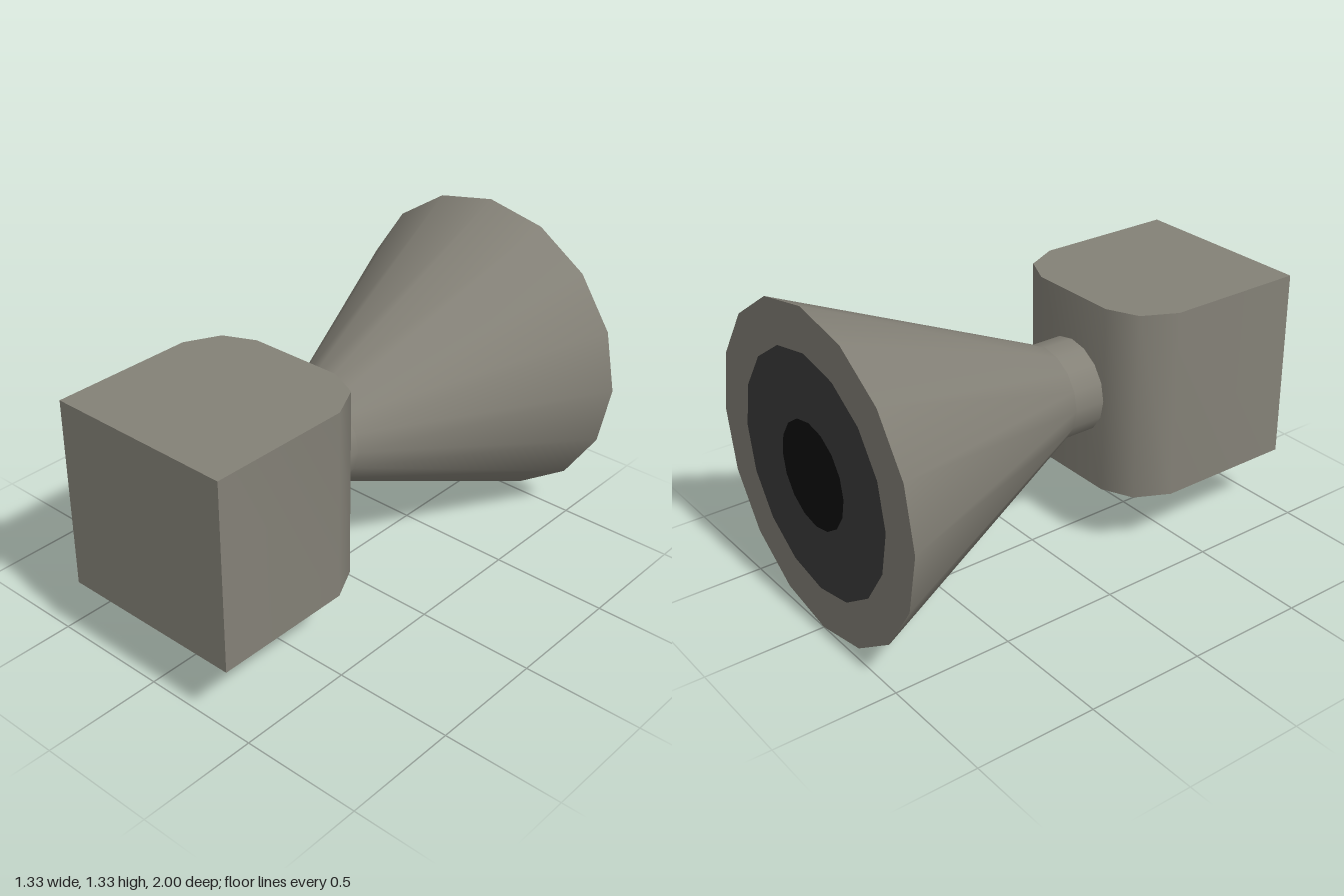
import * as THREE from 'three';
import { toCreasedNormals } from 'three/addons/utils/BufferGeometryUtils.js';

const AXIS_Y = 0.667;

export function createModel() {
  const model = new THREE.Group();
  model.name = 'hornSpeaker';

  const material = (name, color) => {
    const m = new THREE.MeshStandardMaterial({ color });
    m.name = name;
    return m;
  };
  const shell = material('warm grey shell', 0x848177);
  const cone = material('dark grey cone', 0x3c3c3c);
  const core = material('black core', 0x0f0f0f);

  const add = (name, geometry, mat, y, z) => {
    const mesh = new THREE.Mesh(geometry, mat);
    mesh.name = name;
    mesh.position.set(0, y, z);
    model.add(mesh);
  };

  // Housing: square block with its two rear upright edges rounded off
  const half = [[0.4, 1], [0.4, 0.4], [0.33, 0.26], [0.2, 0.2]];
  const outline = [...half, ...half.map(([x, z]) => [-x, z]).reverse()];
  const plan = new THREE.Shape(outline.map(([x, z]) => new THREE.Vector2(x, z)));
  const housing = new THREE.ExtrudeGeometry(plan, { depth: 0.8, bevelEnabled: false });
  housing.rotateX(Math.PI / 2);
  add('housing', toCreasedNormals(housing, 0.8), shell, AXIS_Y + 0.4, 0);

  // Neck and flared horn, both sixteen-sided and smooth, opening to the rear
  const tube = (rearRadius, frontRadius, rear, front) =>
    new THREE.CylinderGeometry(rearRadius, frontRadius, front - rear, 16, 1, true)
      .rotateX(-Math.PI / 2)
      .translate(0, 0, (front + rear) / 2);
  add('neck', tube(0.2, 0.2, 0.065, 0.2), shell, AXIS_Y, 0);
  add('horn', tube(0.667, 0.2, -1, 0.065), shell, AXIS_Y, 0);

  // Flat horn mouth made of three concentric colour bands
  const ring = (inner, outer) =>
    new THREE.RingGeometry(inner, outer, 16).rotateY(Math.PI);
  add('mouthRim', ring(0.488, 0.667), shell, AXIS_Y, -1);
  add('mouthCone', ring(0.215, 0.488), cone, AXIS_Y, -1);
  add('mouthCore', new THREE.CircleGeometry(0.215, 16).rotateY(Math.PI), core, AXIS_Y, -1);

  return model;
}
